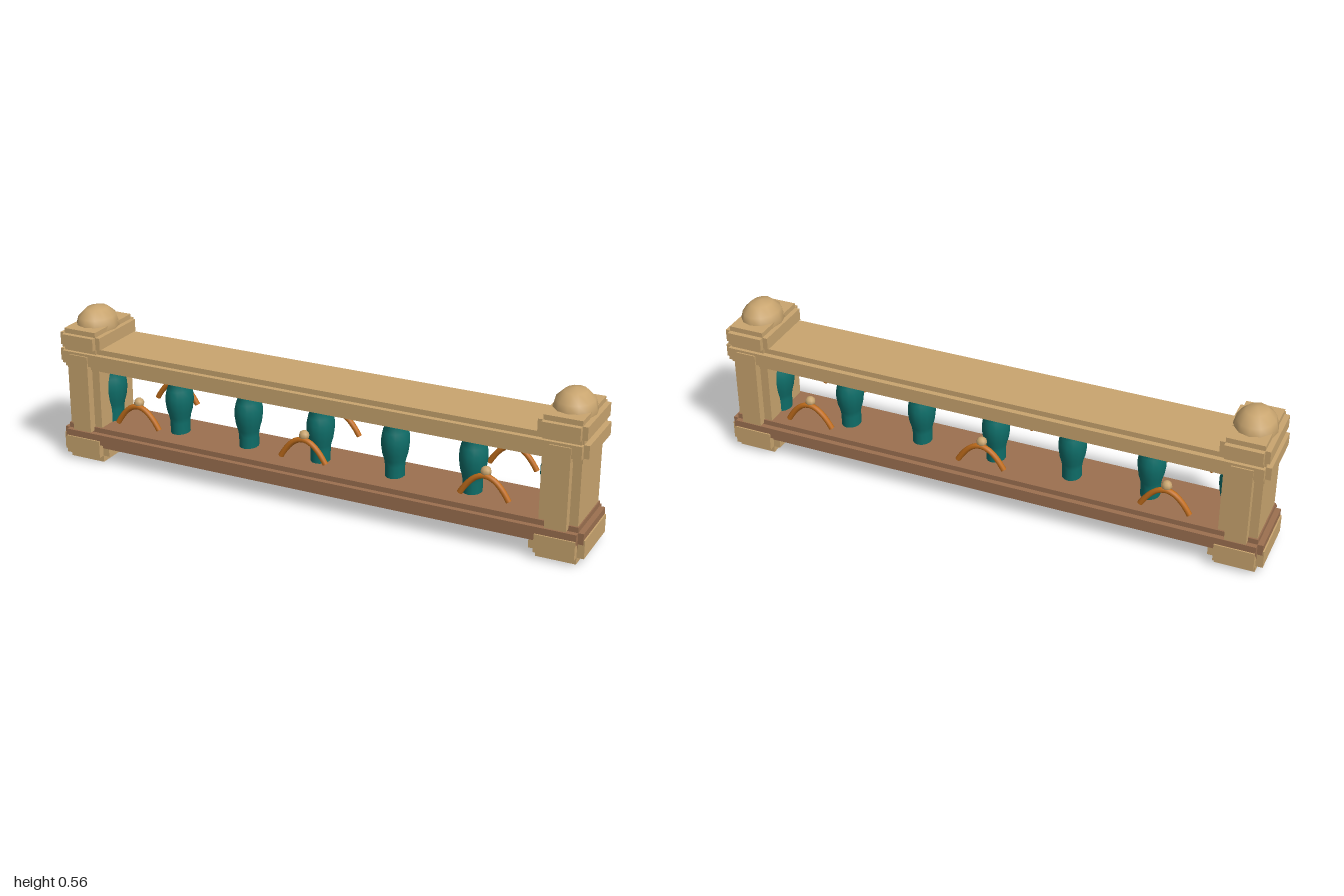
import * as THREE from 'three';

const material = (name, color) => {
  const m = new THREE.MeshStandardMaterial({ color });
  m.name = name;
  return m;
};

export function createModel() {
  const root = new THREE.Group();
  root.name = 'balustrade';

  const sandstone = material('sandstone', 0xc9a56f);
  const brownStone = material('brownStone', 0x9c7050);
  const teal = material('tealGlaze', 0x0f6e69);
  const copper = material('copper', 0xc46f1c);

  const add = (parent, name, geometry, mat, x = 0, y = 0, z = 0) => {
    const mesh = new THREE.Mesh(geometry, mat);
    mesh.name = name;
    mesh.position.set(x, y, z);
    parent.add(mesh);
    return mesh;
  };

  // Block with stepped edges: three crossed boxes, each full size on one axis
  const steppedBlock = (parent, name, mat, x, y0, y1, w, d, step) => {
    const group = new THREE.Group();
    group.name = name;
    group.position.set(x, (y0 + y1) / 2, 0);
    const size = [w, y1 - y0, d];
    for (let axis = 0; axis < 3; axis++) {
      const s = size.map((v, i) => (i === axis ? v : v - 2 * step));
      add(group, name + 'Slab', new THREE.BoxGeometry(...s), mat);
    }
    parent.add(group);
  };

  // Rails
  steppedBlock(root, 'bottomRail', brownStone, 0, 0.055, 0.133, 1.99, 0.262, 0.019);
  steppedBlock(root, 'topRail', sandstone, 0, 0.356, 0.44, 1.99, 0.262, 0.019);

  // End posts with base, shaft, cap and dome
  for (const side of [-1, 1]) {
    const post = new THREE.Group();
    post.name = side > 0 ? 'leftPost' : 'rightPost';
    post.position.x = side * 0.905;
    steppedBlock(post, 'postBase', sandstone, 0, 0, 0.115, 0.19, 0.272, 0.025);
    steppedBlock(post, 'postShaft', sandstone, 0, 0.09, 0.442, 0.134, 0.272, 0.03);
    steppedBlock(post, 'postCap', sandstone, 0, 0.421, 0.503, 0.166, 0.272, 0.018);
    const dome = add(post, 'postDome', new THREE.SphereGeometry(1, 12, 6), sandstone, 0, 0.49);
    dome.scale.set(0.075, 0.075, 0.09);
    root.add(post);
  }

  // Turned balusters, slightly deeper than wide
  const profile = [
    [0.034, 0.12], [0.034, 0.175], [0.037, 0.195], [0.044, 0.22], [0.048, 0.25],
    [0.048, 0.275], [0.043, 0.3], [0.036, 0.32], [0.036, 0.37],
  ].map(([r, y]) => new THREE.Vector2(r, y));
  const balusterGeometry = new THREE.LatheGeometry(profile, 14);
  for (let i = -3; i <= 3; i++) {
    add(root, 'baluster', balusterGeometry, teal, i * 0.284).scale.z = 1.2;
  }

  // Copper arches with a small stone bead, on both faces
  const archCurve = new THREE.QuadraticBezierCurve3(
    new THREE.Vector3(-0.085, 0.185, 0),
    new THREE.Vector3(0, 0.335, 0),
    new THREE.Vector3(0.085, 0.185, 0)
  );
  const archGeometry = new THREE.TubeGeometry(archCurve, 14, 0.01, 8);
  const endGeometry = new THREE.CircleGeometry(0.01, 8);
  const beadGeometry = new THREE.SphereGeometry(0.019, 8, 6);
  for (const face of [-1, 1]) {
    for (const x of [-0.66, 0, 0.66]) {
      const ornament = new THREE.Group();
      ornament.name = face > 0 ? 'frontOrnament' : 'backOrnament';
      ornament.position.set(x, 0, face * 0.135);
      add(ornament, 'arch', archGeometry, copper);
      // Caps closing the tube ends
      for (const t of [0, 1]) {
        const p = archCurve.getPoint(t);
        const out = archCurve.getTangent(t).multiplyScalar(t ? 1 : -1);
        const cap = add(ornament, 'archEnd', endGeometry, copper, p.x, p.y, p.z);
        cap.quaternion.setFromUnitVectors(new THREE.Vector3(0, 0, 1), out);
      }
      add(ornament, 'bead', beadGeometry, sandstone, 0, 0.272, -face * 0.009);
      root.add(ornament);
    }
  }

  return root;
}
